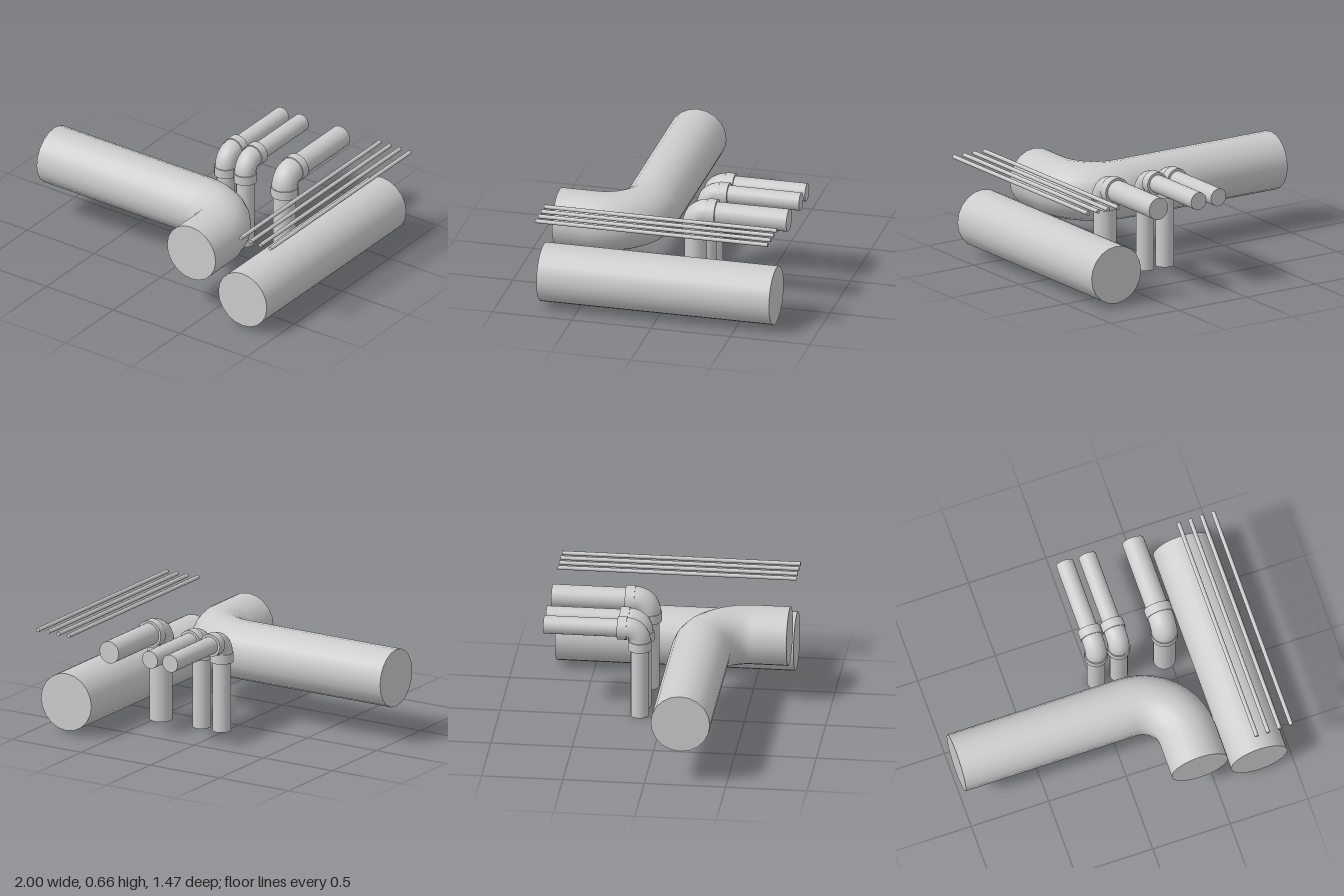
import * as THREE from 'three';

const material = new THREE.MeshStandardMaterial({ color: 0xcccccc });
const BACK = -0.733, FRONT = 0.733;

// Capped round pipe running between two points
function pipe(name, from, to, radius, sides = 20) {
  const a = new THREE.Vector3(...from), b = new THREE.Vector3(...to);
  const mesh = new THREE.Mesh(new THREE.CylinderGeometry(radius, radius, a.distanceTo(b), sides), material);
  mesh.name = name;
  mesh.position.copy(a).add(b).multiplyScalar(0.5);
  mesh.quaternion.setFromUnitVectors(new THREE.Vector3(0, 1, 0), b.sub(a).normalize());
  return mesh;
}

// Quarter-turn bend around a centre point
function elbow(name, centre, rotation, bend, radius, sides = 20) {
  const mesh = new THREE.Mesh(new THREE.TorusGeometry(bend, radius, sides, 10, Math.PI / 2), material);
  mesh.name = name;
  mesh.position.set(...centre);
  mesh.rotation.set(...rotation);
  return mesh;
}

// Wide duct that comes in from the side and turns to the front
function bentDuct() {
  const group = new THREE.Group();
  group.name = 'bentDuct';
  const r = 0.182, y = 0.407, bend = 0.288, cx = 0.108, cz = 0.509;
  group.add(
    pipe('ductSideRun', [-1, y, cz - bend], [cx, y, cz - bend], r),
    elbow('ductElbow', [cx, y, cz], [-Math.PI / 2, 0, 0], bend, r),
    pipe('ductFrontRun', [cx + bend, y, cz], [cx + bend, y, FRONT], r)
  );
  return group;
}

// Riser from the floor that turns to the back through a collared elbow
function riser(name, x, r, elbowR, collarR) {
  const group = new THREE.Group();
  group.name = name;
  const z = -0.145, bend = 0.077, top = 0.574;
  const y0 = top - bend, z0 = z - bend, collar = 0.058;
  group.add(
    pipe('uprightPipe', [x, 0, z], [x, y0, z], r),
    pipe('lowerCollar', [x, y0 - collar, z], [x, y0, z], collarR),
    elbow('riserElbow', [x, y0, z0], [0, -Math.PI / 2, 0], bend, elbowR),
    pipe('upperCollar', [x, top, z0], [x, top, z0 - collar], collarR),
    pipe('levelPipe', [x, top, z0], [x, top, BACK], r)
  );
  return group;
}

export function createModel() {
  const model = new THREE.Group();
  model.name = 'pipework';
  model.add(bentDuct());
  model.add(pipe('straightDuct', [0.78, 0.206, BACK], [0.78, 0.206, FRONT], 0.182));
  model.add(
    riser('smallRiserRight', 0.028, 0.056, 0.066, 0.072),
    riser('smallRiserLeft', 0.174, 0.056, 0.066, 0.072),
    riser('largeRiser', 0.469, 0.07, 0.08, 0.085)
  );

  // Row of thin conduits above the straight duct
  for (let i = 0; i < 4; i++) {
    const x = 0.764 + i * 0.0743;
    model.add(pipe('conduit' + (i + 1), [x, 0.631, BACK], [x, 0.631, FRONT], 0.013, 12));
  }
  return model;
}
